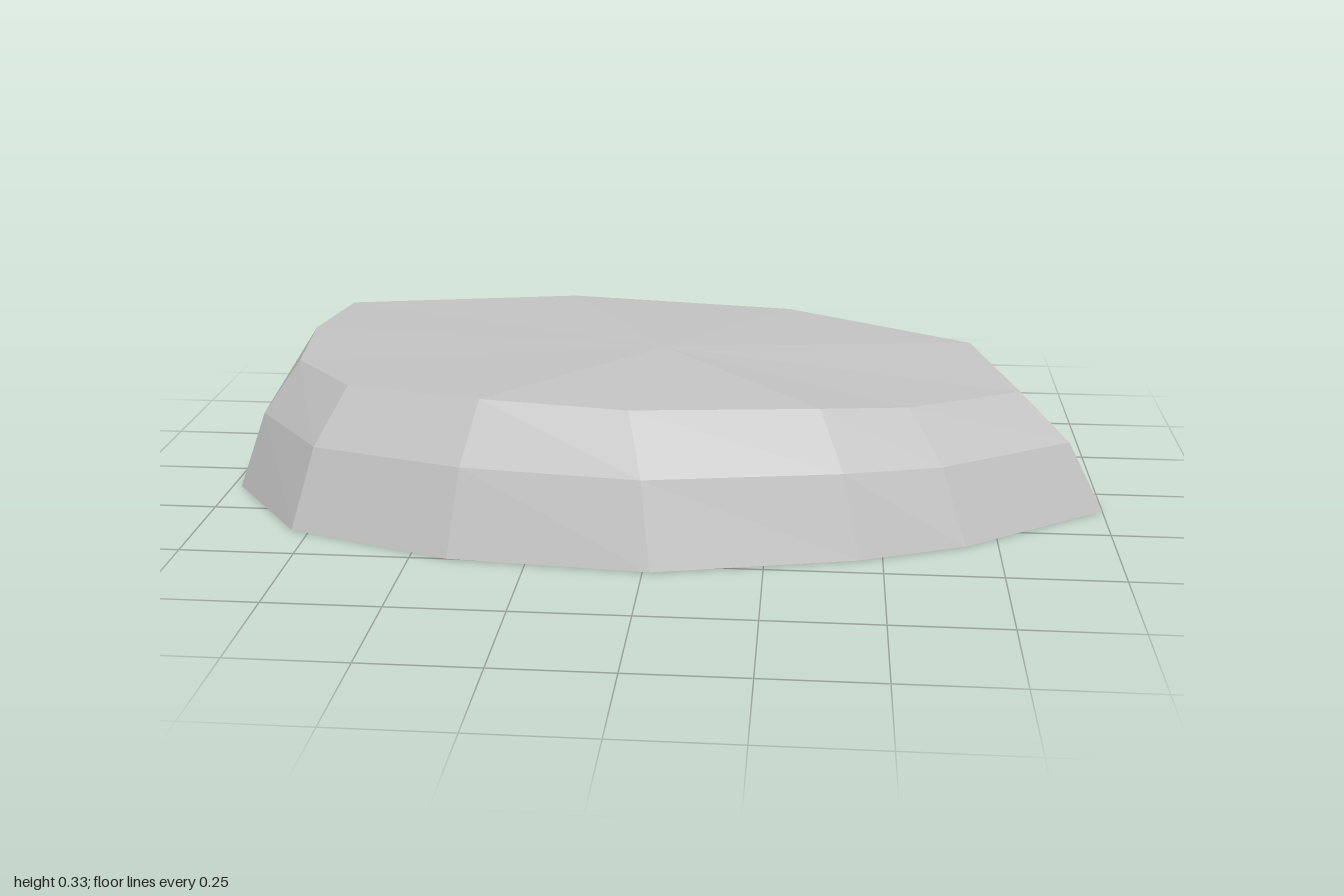
import * as THREE from 'three';

// Footprint corners [x, z] and matching top-edge corners [x, y, z]
const BASE = [
  [-0.96, -0.475], [-0.32, -0.535], [0.34, -0.495], [0.86, -0.28], [1, 0.106], [0.68, 0.34],
  [0.45, 0.435], [0.015, 0.535], [-0.42, 0.5], [-0.79, 0.37], [-0.98, 0.115], [-1, -0.2],
];
const TOP = [
  [-0.82, 0.31, -0.39], [-0.26, 0.33, -0.43], [0.28, 0.32, -0.385], [0.71, 0.3, -0.193],
  [0.805, 0.267, 0.074], [0.55, 0.28, 0.245], [0.36, 0.3, 0.33], [-0.04, 0.31, 0.405],
  [-0.36, 0.32, 0.385], [-0.67, 0.308, 0.28], [-0.83, 0.302, 0.085], [-0.855, 0.31, -0.16],
];

export function createModel() {
  const group = new THREE.Group();
  group.name = 'flatStone';
  const stoneGrey = new THREE.MeshStandardMaterial({ color: 0xc4c4c4, flatShading: true });
  stoneGrey.name = 'stone grey';

  // Three rings: footprint, bulging shoulder, top edge
  const low = BASE.map(([x, z]) => new THREE.Vector3(x, 0, z));
  const high = TOP.map((p) => new THREE.Vector3(...p));
  const mid = low.map((p, i) => {
    const m = p.clone().lerp(high[i], 0.42);
    m.y = high[i].y * 0.59;
    return m;
  });

  const addFacets = (name, points) => {
    const geometry = new THREE.BufferGeometry().setFromPoints(points);
    geometry.computeVertexNormals();
    const mesh = new THREE.Mesh(geometry, stoneGrey);
    mesh.name = name;
    group.add(mesh);
  };

  // Faceted side bands
  const band = (a, b) => a.flatMap((p, i) => {
    const j = (i + 1) % a.length;
    return [p, b[i], b[j], p, b[j], a[j]];
  });
  addFacets('lowerSides', band(low, mid));
  addFacets('upperSides', band(mid, high));

  // Slightly domed top and flat underside
  const fan = (ring, centre, up) => ring.flatMap((p, i) => {
    const next = ring[(i + 1) % ring.length];
    return up ? [centre, next, p] : [centre, p, next];
  });
  addFacets('topFace', fan(high, new THREE.Vector3(0, 0.33, 0), true));
  addFacets('underside', fan(low, new THREE.Vector3(0, 0, 0), false));

  return group;
}
